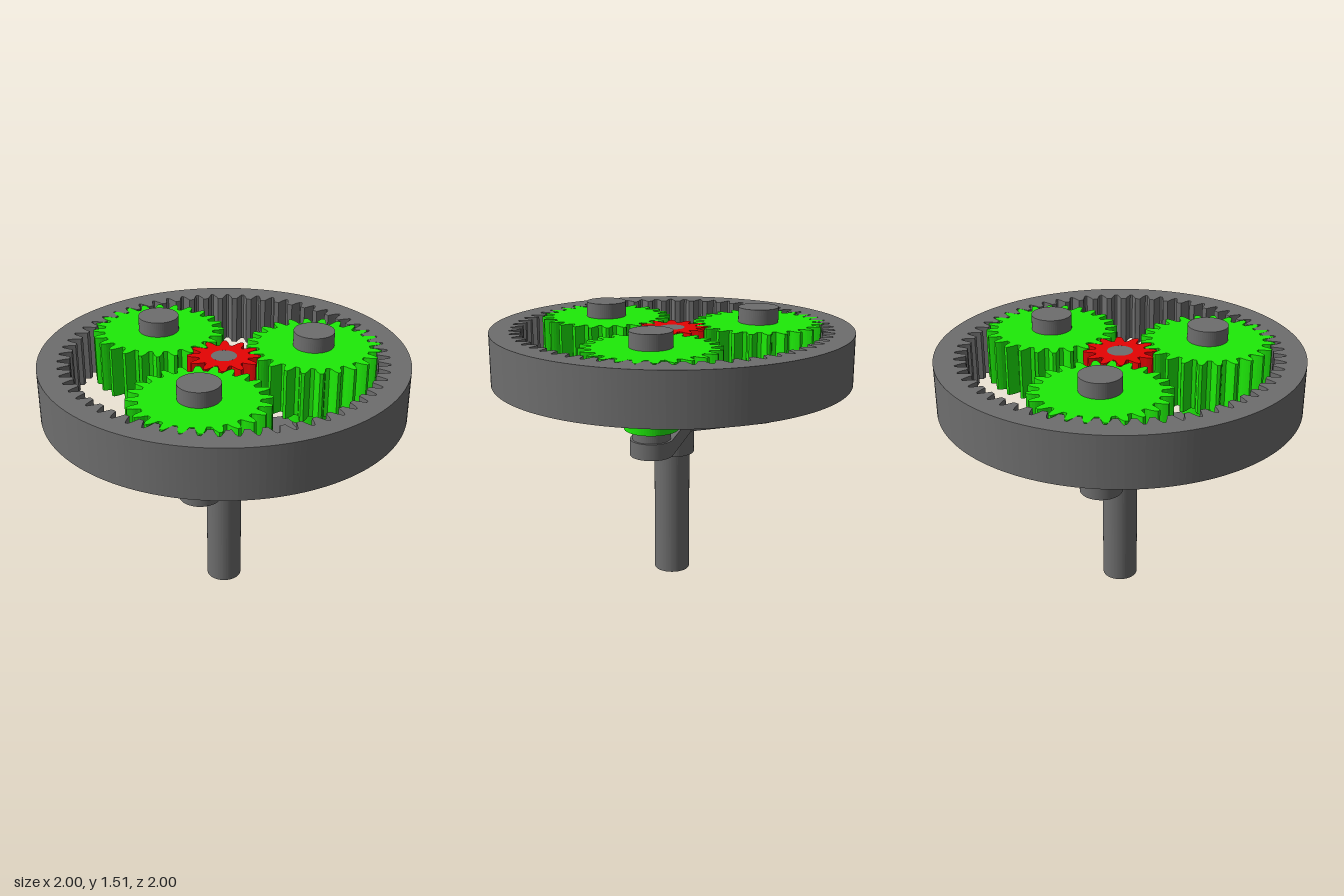
import * as THREE from 'three';

const M = 0.0285;                  // gear module: pitch radius = M * teeth / 2
const ORBIT = M * 18;              // sun-to-planet centre distance
const BOTTOM = 1.145, TOP = 1.43;  // gear band
const START = THREE.MathUtils.degToRad(66.5);

const material = (color) => new THREE.MeshStandardMaterial({ color, flatShading: true });
const grey = material(0x6e6e6e);
const green = material(0x1deb08);
const red = material(0xe60303);

// Closed involute gear outline, first tooth centred on the phase angle
function gearOutline(teeth, rootR, tipR, phase) {
  const pitchR = M * teeth / 2;
  const baseR = pitchR * Math.cos(Math.PI / 9);
  const inv = (r) => {
    const a = Math.acos(Math.min(1, baseR / r));
    return Math.tan(a) - a;
  };
  // Half the tooth angle at radius r, flaring towards the root
  const half = (r) => Math.PI / (2 * teeth) + inv(pitchR) - inv(r) - 0.0015 / pitchR
    + 0.4 * Math.max(0, baseR - r) / r;
  const steps = 5;
  const points = [];
  for (let i = 0; i < teeth; i++) {
    const mid = phase + i * 2 * Math.PI / teeth;
    for (let j = 0; j <= 2 * steps + 1; j++) {
      const rising = j <= steps;
      const t = (rising ? j : 2 * steps + 1 - j) / steps;
      const r = rootR + (tipR - rootR) * t;
      const a = mid + (rising ? -1 : 1) * half(r);
      points.push(new THREE.Vector2(r * Math.cos(a), r * Math.sin(a)));
    }
  }
  return points;
}

// Extrude a plan shape (x, z) between two heights
function slab(name, shape, y0, y1, mat) {
  const geo = new THREE.ExtrudeGeometry(shape, { depth: y1 - y0, bevelEnabled: false, curveSegments: 96 });
  geo.rotateX(Math.PI / 2);
  geo.translate(0, y1, 0);
  const mesh = new THREE.Mesh(geo, mat);
  mesh.name = name;
  return mesh;
}

function rod(name, radius, y0, y1, mat = grey) {
  const mesh = new THREE.Mesh(new THREE.CylinderGeometry(radius, radius, y1 - y0, 64), mat);
  mesh.position.y = (y0 + y1) / 2;
  mesh.name = name;
  return mesh;
}

export function createModel() {
  const group = new THREE.Group();
  group.name = 'planetaryGearSet';

  // Ring gear with internal teeth
  const ring = new THREE.Shape().absarc(0, 0, 1, 0, Math.PI * 2, false);
  ring.holes.push(new THREE.Path(gearOutline(60, 29 * M, 31.25 * M, 0)));
  group.add(slab('ringGear', ring, BOTTOM, TOP, grey));

  // Sun gear on its shaft
  const sun = new THREE.Shape(gearOutline(12, 4.75 * M, 7 * M, THREE.MathUtils.degToRad(24)));
  sun.holes.push(new THREE.Path().absarc(0, 0, 0.07, 0, Math.PI * 2, true));
  group.add(slab('sunGear', sun, BOTTOM, TOP, red));
  group.add(rod('sunAxle', 0.07, BOTTOM, TOP));
  group.add(rod('mainShaft', 0.1, 0, BOTTOM));

  // Carrier hub collar
  group.add(rod('carrierCollar', 0.125, 0.715, 0.86));

  // Carrier: one outline of three tapered, round-ended arms meeting at inner corners
  const armR = 0.113, hubR = 0.125;
  const lean = Math.acos((hubR - armR) / ORBIT);
  const cornerR = hubR / Math.sin(Math.PI / 3);
  const arms = new THREE.Shape();
  for (let k = 0; k < 3; k++) {
    const a = START + k * 2 * Math.PI / 3;
    const corner = a + Math.PI / 3;
    arms.absarc(ORBIT * Math.cos(a), ORBIT * Math.sin(a), armR, a - lean, a + lean, false);
    arms.lineTo(cornerR * Math.cos(corner), cornerR * Math.sin(corner));
  }
  arms.closePath();
  group.add(slab('carrierArms', arms, 0.858, 0.945, grey));

  // Three planets, each with a hub and a pin
  const phase = THREE.MathUtils.degToRad(5.25);
  const planetShape = new THREE.Shape(gearOutline(24, 10.75 * M, 13 * M, phase));
  for (let k = 0; k < 3; k++) {
    const a = START + k * 2 * Math.PI / 3;
    const planet = new THREE.Group();
    planet.name = `planet${k + 1}`;
    planet.position.set(ORBIT * Math.cos(a), 0, ORBIT * Math.sin(a));
    planet.add(
      slab('planetGear', planetShape, BOTTOM, TOP, green),
      rod('planetHub', 0.142, 1.0, BOTTOM, green),
      rod('planetPin', 0.1, 0.945, 1.0),
      rod('pinCap', armR, TOP, 1.515),
    );
    group.add(planet);
  }
  return group;
}
